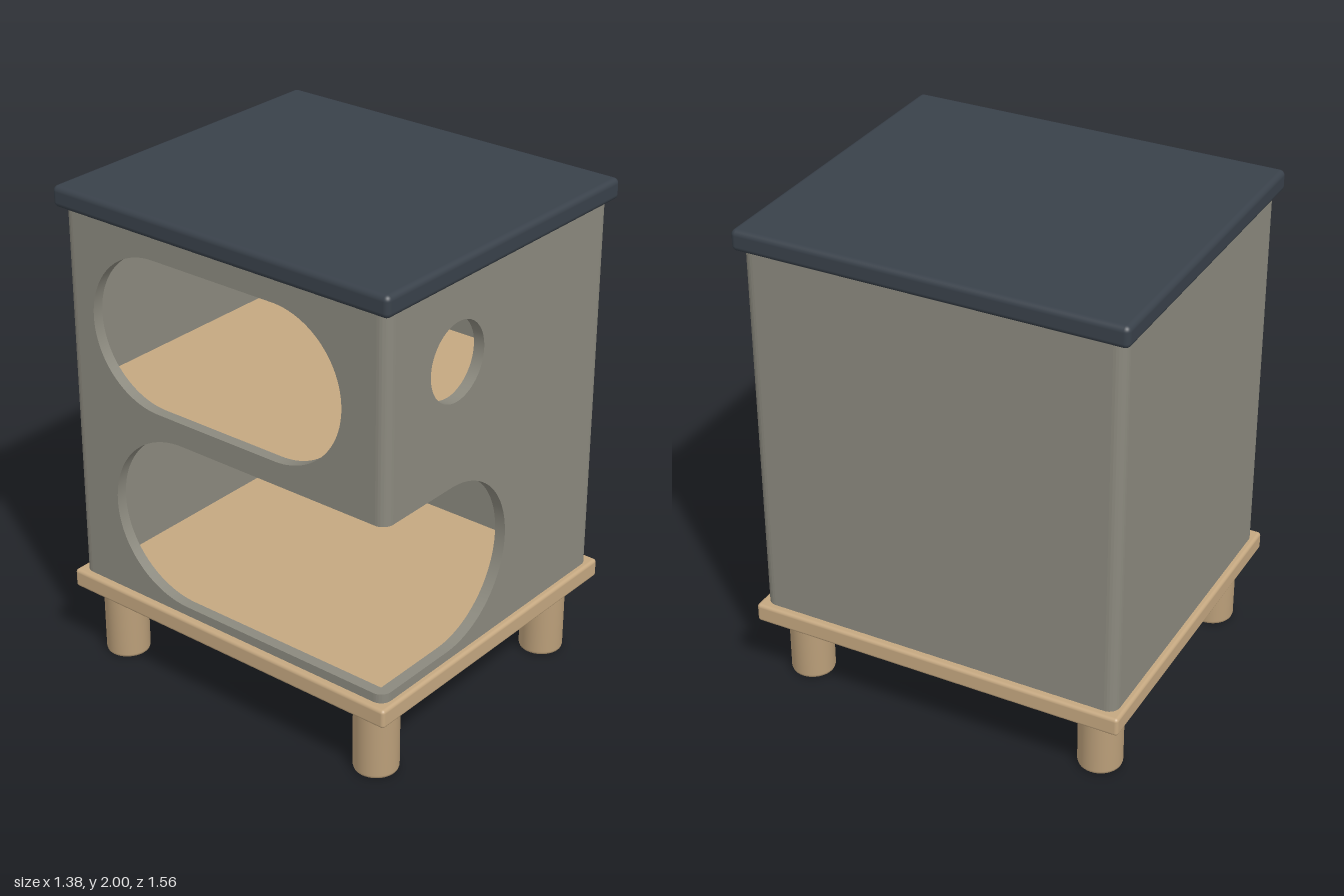
import * as THREE from 'three';
import { toCreasedNormals } from 'three/addons/utils/BufferGeometryUtils.js';
import { RoundedBoxGeometry } from 'three/addons/geometries/RoundedBoxGeometry.js';

const WALL = 0.045;                 // wall thickness and corner radius
const X = 0.66, Z = 0.755;          // outer half sizes of the body
const BOTTOM = 0.37, TOP = 1.915;   // body height range
const LIP = 0.408, LINTEL = 1.105;  // lower opening height range

export function createModel() {
  const grey = new THREE.MeshStandardMaterial({ color: 0x8b897e });
  grey.name = 'warmGrey';
  const wood = new THREE.MeshStandardMaterial({ color: 0xc4a780 });
  wood.name = 'lightWood';
  const dark = new THREE.MeshStandardMaterial({ color: 0x39414a });
  dark.name = 'darkSlate';

  const model = new THREE.Group();
  model.name = 'petHouse';
  const add = (name, geometry, material, x = 0, y = 0, z = 0, turn = 0) => {
    const mesh = new THREE.Mesh(geometry, material);
    mesh.name = name;
    mesh.position.set(x, y, z);
    mesh.rotation.y = turn;
    model.add(mesh);
    return mesh;
  };
  const extrude = (shape, depth) => toCreasedNormals(
    new THREE.ExtrudeGeometry(shape, { depth, bevelEnabled: false, curveSegments: 32 }), 0.5);

  // Wall outline; with arcX it gets a round-ended opening running out of its -x edge
  const wallShape = (half, arcX) => {
    const s = new THREE.Shape();
    s.moveTo(-half, BOTTOM);
    s.lineTo(half, BOTTOM);
    s.lineTo(half, TOP);
    s.lineTo(-half, TOP);
    if (arcX !== undefined) {
      s.lineTo(-half, LINTEL);
      s.lineTo(arcX, LINTEL);
      s.absarc(arcX, (LIP + LINTEL) / 2, (LINTEL - LIP) / 2, Math.PI / 2, -Math.PI / 2, true);
      s.lineTo(-half, LIP);
    }
    s.closePath();
    return s;
  };

  // Front wall with porthole
  const front = wallShape(X - WALL, -0.28);
  const porthole = new THREE.Path();
  porthole.absarc(-0.26, 1.598, 0.155, 0, Math.PI * 2, true);
  front.holes.push(porthole);
  add('frontWall', extrude(front, WALL), grey, 0, 0, Z - WALL);

  // Open side wall with a long round-ended window above
  const side = wallShape(Z - WALL, 0.2);
  const window = new THREE.Path();
  window.absarc(-0.25, 1.51, 0.31, Math.PI * 1.5, Math.PI / 2, true);
  window.absarc(0.315, 1.51, 0.31, Math.PI / 2, -Math.PI / 2, true);
  window.closePath();
  side.holes.push(window);
  add('openSideWall', extrude(side, WALL), grey, -X, 0, 0, Math.PI / 2);

  // Plain walls
  add('backWall', extrude(wallShape(X - WALL), WALL), grey, 0, 0, -Z);
  add('plainSideWall', extrude(wallShape(Z - WALL), WALL), grey, X - WALL, 0, 0, Math.PI / 2);

  // Rounded corners: quarter-round posts, the open corner is split in two
  const quarter = new THREE.Shape();
  quarter.moveTo(0, 0);
  quarter.lineTo(WALL, 0);
  quarter.absarc(0, 0, WALL, 0, Math.PI / 2, false);
  quarter.closePath();
  const post = (name, sx, sz, turn, y0, y1) => {
    const g = extrude(quarter, y1 - y0);
    g.rotateX(-Math.PI / 2); // quarter now spans +x, -z and rises along y
    add(name, g, grey, sx * (X - WALL), y0, sz * (Z - WALL), turn);
  };
  post('backLeftCorner', 1, -1, 0, BOTTOM, TOP);
  post('backRightCorner', -1, -1, Math.PI / 2, BOTTOM, TOP);
  post('frontLeftCorner', 1, 1, -Math.PI / 2, BOTTOM, TOP);
  post('frontRightCornerUpper', -1, 1, Math.PI, LINTEL, TOP);
  post('frontRightCornerLip', -1, 1, Math.PI, BOTTOM, LIP);

  // Roof, base board and inner shelf
  add('roof', new RoundedBoxGeometry(1.38, 0.085, 1.56, 4, 0.022), dark, 0, 1.9575, 0);
  add('baseBoard', new RoundedBoxGeometry(1.38, 0.078, 1.56, 4, 0.014), wood, 0, 0.331, 0);
  add('shelf', new THREE.BoxGeometry(2 * (X - WALL), 0.045, 2 * (Z - WALL)), wood, 0, 1.1775, 0);

  // Legs with a softened foot and a small flare under the base
  const profile = [[0, 0], [0.078, 0], [0.085, 0.004], [0.088, 0.014],
    [0.088, 0.275], [0.091, 0.286], [0.1, 0.295]].map(([r, y]) => new THREE.Vector2(r, y));
  const leg = toCreasedNormals(new THREE.LatheGeometry(profile, 40), 0.9);
  for (const [x, xName] of [[-0.557, 'Right'], [0.513, 'Left']]) {
    for (const [z, zName] of [[0.645, 'front'], [-0.633, 'back']]) {
      add(`${zName}${xName}Leg`, leg, wood, x, 0, z);
    }
  }
  return model;
}
